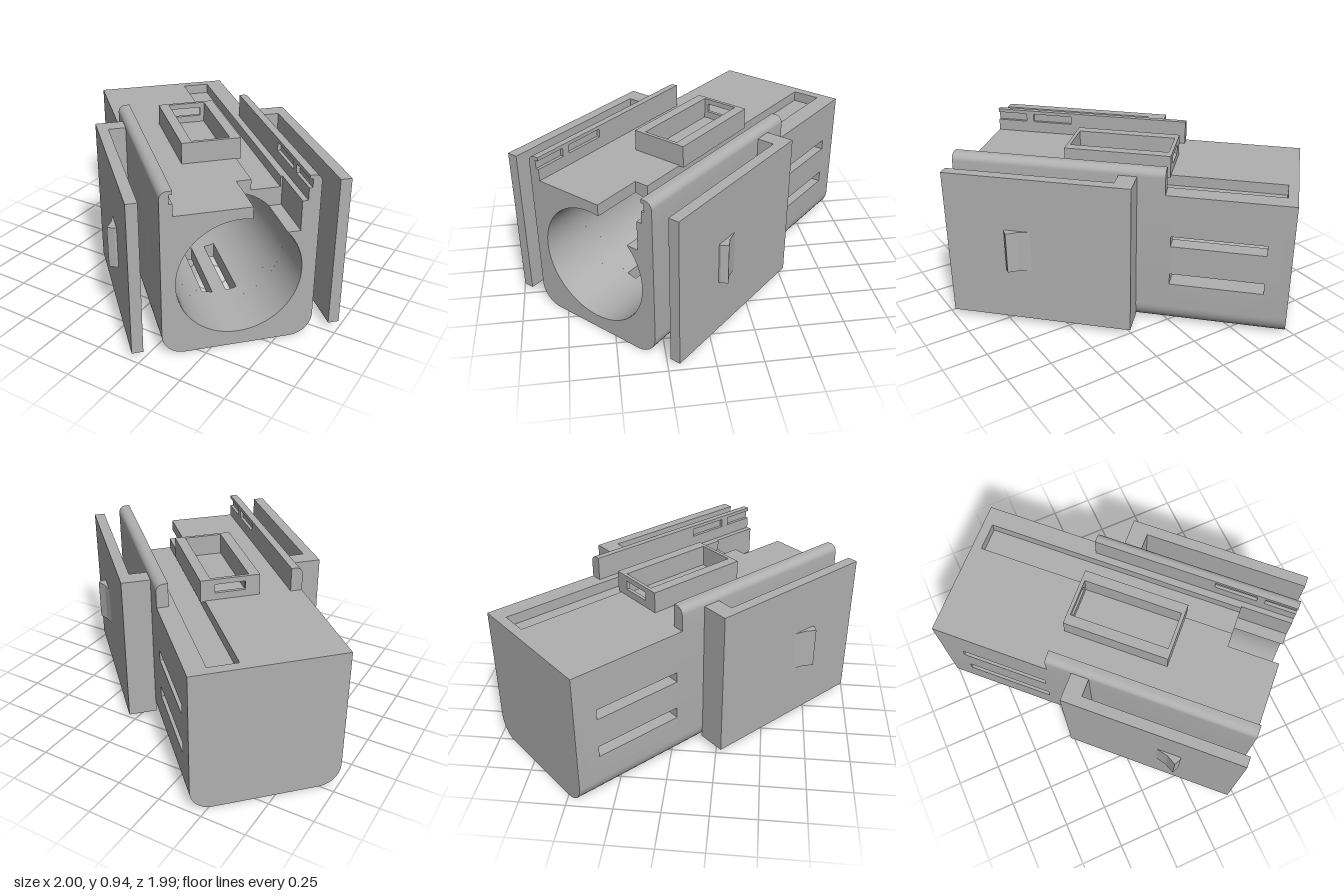
import * as THREE from 'three';
import { mergeGeometries, toCreasedNormals } from 'three/addons/utils/BufferGeometryUtils.js';

const HALF = 0.405, DECK = 0.8, BORE_Y = 0.41, BORE_R = 0.33, CORNER = 0.12;
const BACK = -1.005, FRONT = 0.845;

export function createModel() {
  const grey = new THREE.MeshStandardMaterial({ color: 0xb0b0b0 });
  grey.name = 'plastic grey';
  const model = new THREE.Group();
  model.name = 'connectorHousing';

  const add = (name, geometry) => {
    const mesh = new THREE.Mesh(geometry, grey);
    mesh.name = name;
    model.add(mesh);
    return mesh;
  };
  const box = (name, x0, x1, y0, y1, z0, z1) =>
    add(name, new THREE.BoxGeometry(Math.abs(x1 - x0), y1 - y0, z1 - z0))
      .position.set((x0 + x1) / 2, (y0 + y1) / 2, (z0 + z1) / 2);
  const prism = (points, z0, z1) =>
    new THREE.ExtrudeGeometry(new THREE.Shape(points.map(p => new THREE.Vector2(p[0], p[1]))),
      { depth: z1 - z0, bevelEnabled: false }).translate(0, 0, z0);
  const arc = (cx, cy, r, a0, a1, n) => Array.from({ length: n + 1 }, (_, i) => {
    const a = a0 + (a1 - a0) * i / n;
    return [cx + r * Math.cos(a), cy + r * Math.sin(a)];
  });

  // Clockwise angle from straight up, seen from the bore axis
  const angle = ([x, y]) => (Math.atan2(x, y - BORE_Y) + 2 * Math.PI) % (2 * Math.PI);
  const boreX = y => Math.sqrt(BORE_R ** 2 - (y - BORE_Y) ** 2);
  const boreDy = x => Math.sqrt(BORE_R ** 2 - x * x);

  // Outer outline, clockwise from the top centre
  const outline = groove => [
    ...(groove ? [[0.14, DECK], [0.14, 0.74], [0.3, 0.74], [0.3, DECK]] : []),
    [HALF, DECK],
    ...arc(HALF - CORNER, CORNER, CORNER, 0, -Math.PI / 2, 10),
    ...arc(-HALF + CORNER, CORNER, CORNER, -Math.PI / 2, -Math.PI, 10),
    [-HALF, DECK],
  ];

  // Cuts run from the outer outline to the bore
  const sideCut = (s, y) => [[s * HALF, y], [s * boreX(y), y]];
  const floorCut = x => [[x, 0], [x, BORE_Y - boreDy(x)]];

  // Wall piece between two cuts
  function wallPiece(from, to, outer, z0, z1) {
    const a0 = angle(from[0]);
    const a1 = angle(to[0]) + (angle(to[0]) <= a0 ? 2 * Math.PI : 0);
    const i0 = angle(from.at(-1));
    let i1 = angle(to.at(-1));
    if (i1 <= i0) i1 += 2 * Math.PI;
    const run = [...outer, ...outer].filter((p, k) => {
      const a = angle(p) + (k >= outer.length ? 2 * Math.PI : 0);
      return a > a0 + 1e-4 && a < a1 - 1e-4;
    });
    const n = Math.max(2, Math.ceil((i1 - i0) / 0.09));
    const inner = arc(0, BORE_Y, BORE_R, Math.PI / 2 - i1, Math.PI / 2 - i0, n).slice(1, -1);
    return prism([from[0], ...run, ...to, ...inner, ...from.slice(1).reverse()], z0, z1);
  }

  // Body: slices of wall around the bore, open where slots and the notch pass
  const slices = [prism(outline(false), BACK, -0.95)];
  const stations = [-0.95, -0.872, -0.685, -0.36, -0.19, -0.02, 0.47, 0.555, FRONT];
  for (let i = 0; i < stations.length - 1; i++) {
    const [z0, z1] = [stations[i], stations[i + 1]];
    const mid = (z0 + z1) / 2;
    const within = (a, b) => mid > a && mid < b;
    const gaps = [];
    if (within(0.555, FRONT)) gaps.push([
      [[0.06, DECK], [0.06, BORE_Y + boreDy(0.06)]],
      [[0.31, DECK], [0.31, 0.635], [boreX(0.635), 0.635]]]);
    const sides = within(-0.872, -0.36);
    if (sides) gaps.push([sideCut(1, 0.56), sideCut(1, 0.5)], [sideCut(1, 0.33), sideCut(1, 0.265)]);
    if (within(-0.685, -0.19) || within(-0.02, 0.47))
      gaps.push([floorCut(0.1), floorCut(0.04)], [floorCut(-0.04), floorCut(-0.1)]);
    if (sides) gaps.push([sideCut(-1, 0.265), sideCut(-1, 0.33)], [sideCut(-1, 0.5), sideCut(-1, 0.56)]);
    const outer = outline(mid < 0.555);
    if (!gaps.length) {
      const seams = [sideCut(1, BORE_Y), sideCut(-1, BORE_Y)];
      slices.push(wallPiece(seams[0], seams[1], outer, z0, z1), wallPiece(seams[1], seams[0], outer, z0, z1));
    } else if (gaps.length === 1) {
      const seam = floorCut(0);
      slices.push(wallPiece(gaps[0][1], seam, outer, z0, z1), wallPiece(seam, gaps[0][0], outer, z0, z1));
    } else {
      gaps.forEach((g, k) =>
        slices.push(wallPiece(g[1], gaps[(k + 1) % gaps.length][0], outer, z0, z1)));
    }
  }
  add('body', toCreasedNormals(mergeGeometries(slices), 0.5));

  for (const s of [1, -1]) {
    const side = s > 0 ? 'left' : 'right';

    // Top rail, with a shallow inner groove toward the front
    const cap = [[HALF, DECK], ...arc(HALF - 0.04, 0.895, 0.04, 0, Math.PI / 2, 8), [0.34, 0.935]];
    const groove = [[0.34, 0.915], [0.358, 0.915], [0.358, 0.867], [0.34, 0.867]];
    const flip = pts => pts.map(([x, y]) => [s * x, y]);
    add(side + 'Rail', toCreasedNormals(mergeGeometries([
      prism(flip([...cap, [0.34, DECK]]), -0.325, 0.38),
      prism(flip([...cap, ...groove, [0.34, DECK]]), 0.38, FRONT),
    ]), 0.5));
    box(side + 'RailStop', s * 0.34, s * 0.36, 0.866, 0.916, 0.62, 0.665);

    // Side latch arm and its root
    box(side + 'ArmRoot', s * (HALF - 0.005), s * 0.505, 0.04, 0.893, -0.175, -0.075);
    box(side + 'Arm', s * 0.503, s * 0.563, 0.04, 0.893, -0.175, FRONT);

    // Catch wedge on the arm
    const catchShape = [[0.555, 0.372], [0.563, 0.372], [0.58, 0.44], [0.61, 0.492], [0.575, 0.513], [0.555, 0.513]];
    const wedge = prism(flip(catchShape), 0, 0.235);
    wedge.rotateX(Math.PI / 2).translate(0, 0.588, 0);
    add(side + 'Catch', wedge);

    // Long wall of the top frame
    box(side + 'FrameWall', s * 0.107, s * 0.165, DECK - 0.005, 0.92, -0.315, 0.282);
  }

  // End walls of the top frame; the back one has a window
  box('frameFrontWall', -0.107, 0.107, DECK - 0.005, 0.92, 0.262, 0.282);
  const backWall = new THREE.Shape([[-0.107, 0.795], [0.107, 0.795], [0.107, 0.92], [-0.107, 0.92]]
    .map(p => new THREE.Vector2(...p)));
  backWall.holes.push(new THREE.Path([[-0.085, 0.84], [-0.085, 0.89], [0.085, 0.89], [0.085, 0.84]]
    .map(p => new THREE.Vector2(...p))));
  add('frameBackWall', new THREE.ExtrudeGeometry(backWall, { depth: 0.02, bevelEnabled: false }))
    .position.z = -0.315;

  // The housing stands diagonally
  model.rotation.y = 0.793;
  return model;
}
